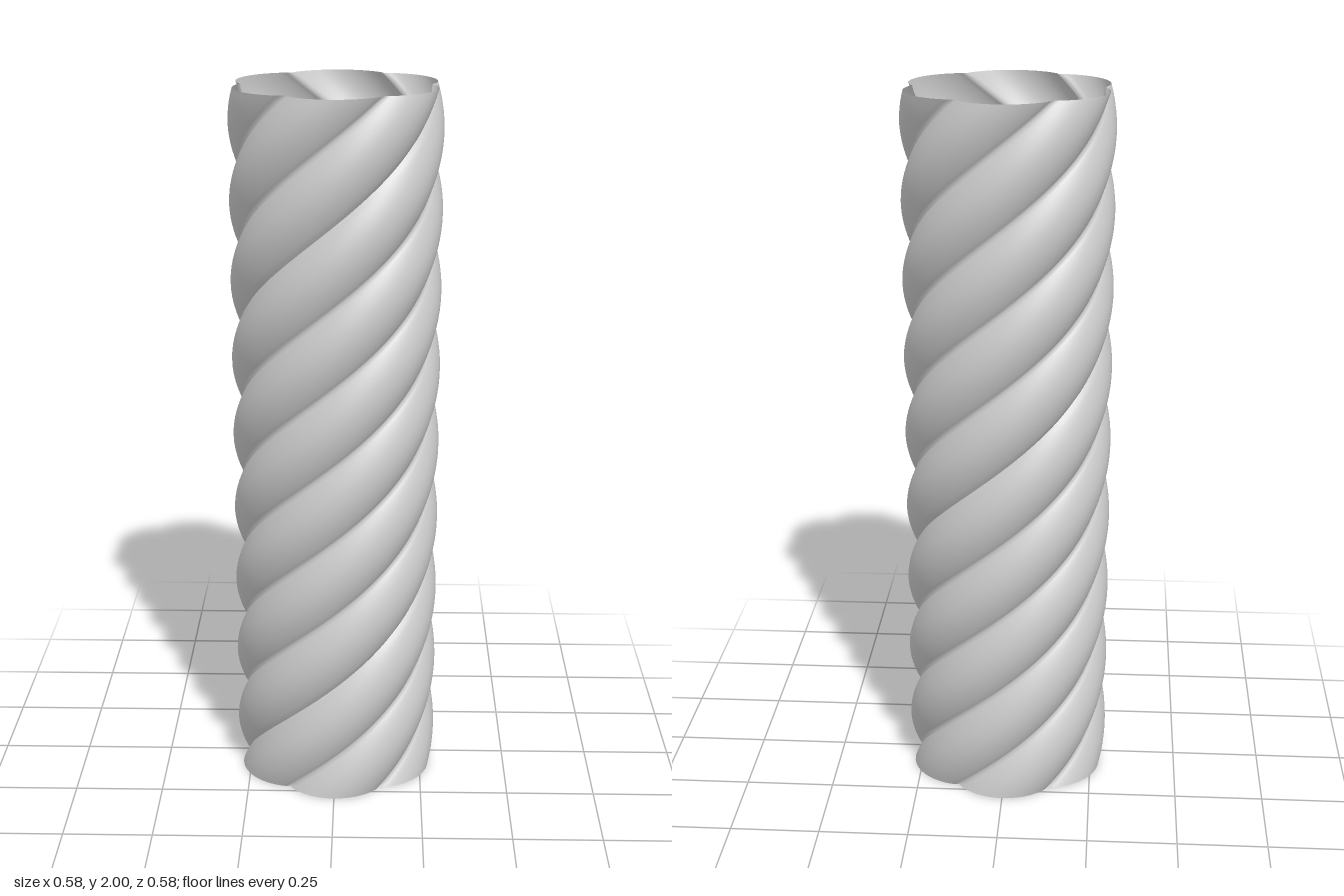
import * as THREE from 'three';

const HEIGHT = 2, LOBES = 6, TURNS = 1.5;
const GROOVE_R = 0.257, CREST_R = 0.292;

// Radius of the six-lobed section: broad round lobes, narrow grooves
function lobeRadius(a) {
  const s = Math.abs(Math.sin((a * LOBES) / 2));
  return GROOVE_R + (CREST_R - GROOVE_R) * Math.pow(s, 0.75);
}

export function createModel() {
  const group = new THREE.Group();
  group.name = 'twistedColumn';

  // Open tube whose section turns steadily with height; vertices follow the grooves
  const geo = new THREE.CylinderGeometry(1, 1, HEIGHT, LOBES * 20, 160, true);
  geo.translate(0, HEIGHT / 2, 0);
  const pos = geo.attributes.position, uv = geo.attributes.uv;
  for (let i = 0; i < pos.count; i++) {
    const y = pos.getY(i);
    const section = uv.getX(i) * Math.PI * 2;
    const r = lobeRadius(section);
    const a = section + Math.PI / 2 + (y / HEIGHT - 1) * TURNS * Math.PI * 2;
    pos.setXYZ(i, r * Math.sin(a), y, r * Math.cos(a));
  }
  geo.computeVertexNormals();

  const shell = new THREE.Mesh(geo, new THREE.MeshStandardMaterial({
    color: 0xcccccc, side: THREE.DoubleSide,
  }));
  shell.name = 'flutedShell';
  group.add(shell);
  return group;
}
